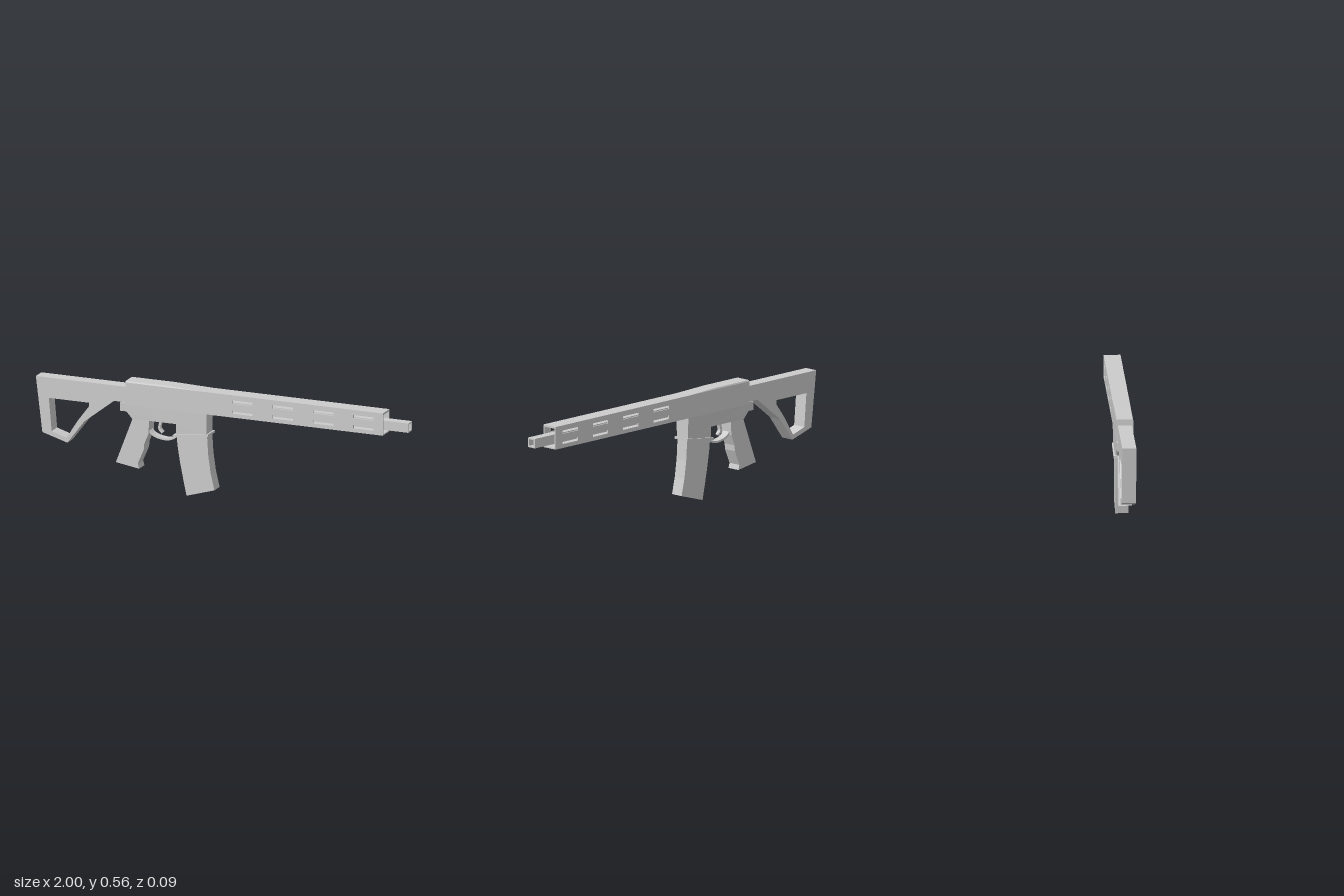
import * as THREE from 'three';

const material = new THREE.MeshStandardMaterial({ color: 0xcccccc, flatShading: true });

function outline(points, holes = []) {
  const vectors = (list) => list.map(([x, y]) => new THREE.Vector2(x, y));
  const shape = new THREE.Shape(vectors(points));
  for (const hole of holes) shape.holes.push(new THREE.Path(vectors(hole)));
  return shape;
}

// Side profile given thickness, centred on z
function slab(points, halfWidth, holes) {
  const geometry = new THREE.ExtrudeGeometry(outline(points, holes), {
    depth: halfWidth * 2, bevelEnabled: false,
  });
  return geometry.translate(0, 0, -halfWidth);
}

const rect = (x0, x1, y0, y1) => [[x0, y0], [x1, y0], [x1, y1], [x0, y1]];

// Width changes linearly with height
function taper(geometry, yLow, scaleLow, yHigh, scaleHigh) {
  const p = geometry.attributes.position;
  for (let i = 0; i < p.count; i++) {
    const t = THREE.MathUtils.clamp((p.getY(i) - yLow) / (yHigh - yLow), 0, 1);
    p.setZ(i, p.getZ(i) * THREE.MathUtils.lerp(scaleLow, scaleHigh, t));
  }
  geometry.computeVertexNormals();
  return geometry;
}

// Band of constant thickness along a smooth line through the points
function band(points, thickness, halfWidth) {
  const curve = new THREE.SplineCurve(points.map(([x, y]) => new THREE.Vector2(x, y)));
  const upper = [], lower = [];
  for (let i = 0; i <= 12; i++) {
    const c = curve.getPoint(i / 12), d = curve.getTangent(i / 12);
    upper.push([c.x - d.y * thickness / 2, c.y + d.x * thickness / 2]);
    lower.unshift([c.x + d.y * thickness / 2, c.y - d.x * thickness / 2]);
  }
  return slab([...lower, ...upper], halfWidth);
}

export function createModel() {
  const model = new THREE.Group();
  const add = (name, geometry, parent = model) => {
    const mesh = new THREE.Mesh(geometry, material);
    mesh.name = name;
    parent.add(mesh);
    return mesh;
  };

  // Open-framed shoulder stock
  add('stock', slab(
    [[-1, 0.525], [-0.965, 0.24], [-0.83, 0.2], [-0.74, 0.32], [-0.58, 0.445], [-0.51, 0.445], [-0.51, 0.525]],
    0.035,
    [[[-0.93, 0.42], [-0.915, 0.25], [-0.835, 0.225], [-0.775, 0.32], [-0.715, 0.4], [-0.715, 0.42]]],
  ));

  // Receiver: straight upper body with a narrow top cap
  add('upperReceiver', slab(
    [[-0.515, 0.435], [-0.08, 0.435], [-0.08, 0.55], [-0.515, 0.55]], 0.042));
  add('receiverCap', taper(slab(
    [[-0.515, 0.55], [-0.08, 0.55], [-0.28, 0.557], [-0.515, 0.557]], 0.042), 0.55, 1, 0.557, 0.94));

  // Lower body narrowing into the magazine well
  add('lowerReceiver', taper(slab(
    [[-0.545, 0.445], [-0.545, 0.4], [-0.51, 0.4], [-0.48, 0.365], [-0.245, 0.365],
      [-0.245, 0.31], [-0.08, 0.33], [-0.08, 0.445]], 0.042), 0.31, 0.88, 0.435, 0.99));

  // Tilted collar round the magazine
  add('magazineCollar', slab(
    [[-0.26, 0.296], [-0.07, 0.32], [-0.07, 0.332], [-0.26, 0.308]], 0.044));

  // Curved magazine
  add('magazine', slab(
    [[-0.245, 0.32], [-0.238, 0.25], [-0.225, 0.17], [-0.207, 0.08], [-0.19, 0], [-0.04, 0.045],
      [-0.06, 0.13], [-0.073, 0.22], [-0.08, 0.33]], 0.033));

  // Grip with finger notch
  add('grip', slab(
    [[-0.51, 0.4], [-0.48, 0.365], [-0.57, 0.13], [-0.445, 0.11], [-0.452, 0.135], [-0.42, 0.21],
      [-0.417, 0.24], [-0.395, 0.295], [-0.39, 0.37], [-0.4, 0.4]], 0.034));

  // Trigger and its guard
  add('triggerGuard', band(
    [[-0.4, 0.31], [-0.37, 0.285], [-0.31, 0.273], [-0.265, 0.285], [-0.235, 0.315]], 0.01, 0.02));
  add('trigger', band([[-0.335, 0.37], [-0.345, 0.34], [-0.345, 0.32], [-0.33, 0.302]], 0.012, 0.01));

  // Hollow handguard with two rows of slots on each side
  const guard = new THREE.Group();
  guard.name = 'handguard';
  model.add(guard);
  const slots = [];
  for (let i = 0; i < 4; i++) {
    const x = 0.06 + i * 0.217;
    slots.push(rect(x, x + 0.11, 0.507, 0.524), rect(x, x + 0.11, 0.455, 0.473));
  }
  for (const side of [-1, 1]) {
    const wall = add(side > 0 ? 'frontWall' : 'backWall',
      slab(rect(-0.08, 0.87, 0.435, 0.55), 0.0035, slots), guard);
    wall.position.z = side * 0.0385;
  }
  add('guardTop', slab(rect(-0.08, 0.87, 0.54, 0.55), 0.042), guard);
  add('guardBottom', slab(rect(-0.08, 0.87, 0.435, 0.441), 0.042), guard);

  // Square hollow barrel running through the handguard
  const square = (h) => [[-h, -h], [h, -h], [h, h], [-h, h]];
  const barrel = new THREE.ExtrudeGeometry(outline(square(0.024), [square(0.017)]), {
    depth: 1.08, bevelEnabled: false,
  });
  barrel.rotateY(Math.PI / 2).translate(-0.08, 0.484, 0);
  add('barrel', barrel);

  return model;
}
